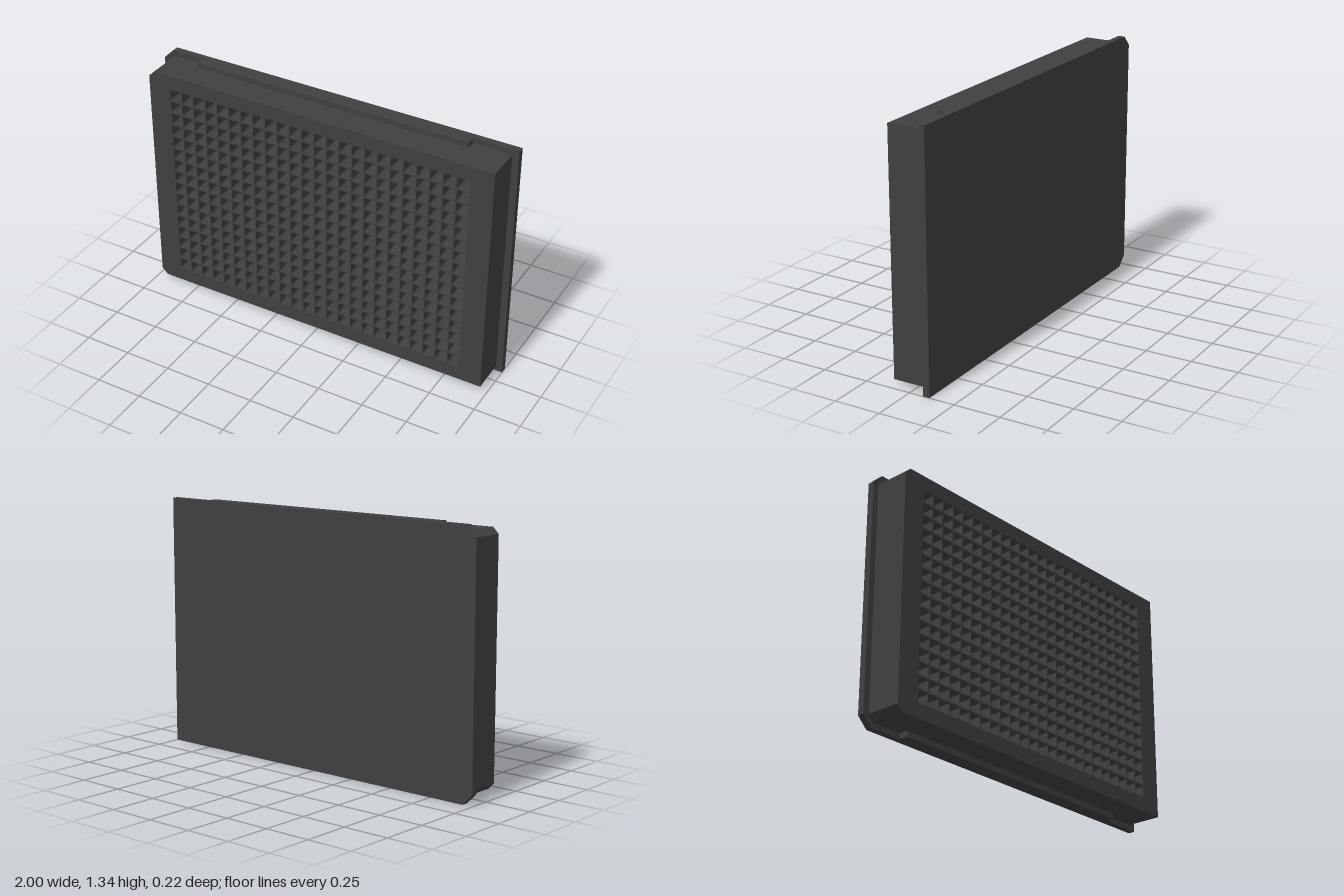
import * as THREE from 'three';

const HEIGHT = 1.337, BACK = -0.112, FLANGE_FRONT = -0.077, STEP_FRONT = -0.029, FRONT = 0.112;

// Rectangle whose two corners on the -x side are cut off
function plateOutline(x0, x1, y0, y1, cut) {
  return new THREE.Shape([
    [x0 + cut, y0], [x1, y0], [x1, y1], [x0 + cut, y1], [x0, y1 - cut], [x0, y0 + cut],
  ].map(([x, y]) => new THREE.Vector2(x, y)));
}

// Square well opening with slightly cut corners
function wellOutline(cx, cy, half, cut) {
  const a = half, b = half - cut;
  return new THREE.Path([
    [-b, -a], [-a, -b], [-a, b], [-b, a], [b, a], [a, b], [a, -b], [b, -a],
  ].map(([x, y]) => new THREE.Vector2(cx + x, cy + y)));
}

function slab(shape, z0, z1) {
  return new THREE.ExtrudeGeometry(shape, { depth: z1 - z0, bevelEnabled: false }).translate(0, 0, z0);
}

export function createModel() {
  const group = new THREE.Group();
  group.name = 'wellPlate';
  const material = new THREE.MeshStandardMaterial({ color: 0x404040 });
  const add = (name, geometry) => {
    const mesh = new THREE.Mesh(geometry, material);
    mesh.name = name;
    group.add(mesh);
    return mesh;
  };

  // Base flange, which also closes the bottoms of the wells
  add('baseFlange', slab(plateOutline(-1, 1, 0, HEIGHT, 0.055), BACK, FLANGE_FRONT));

  // Body pierced by a 24 x 16 grid of wells
  const body = plateOutline(-0.967, 0.965, 0.03, HEIGHT - 0.03, 0.032);
  const columns = 24, rows = 16, pitch = 0.0704;
  for (let r = 0; r < rows; r++) {
    for (let c = 0; c < columns; c++) {
      const x = (c - (columns - 1) / 2) * pitch;
      const y = HEIGHT / 2 + (r - (rows - 1) / 2) * pitch;
      body.holes.push(wellOutline(x, y, 0.032, 0.006));
    }
  }
  add('wellBody', slab(body, FLANGE_FRONT - 0.01, FRONT));

  // Raised steps along the two long edges of the flange
  const stepDepth = STEP_FRONT - FLANGE_FRONT;
  for (const [name, y] of [['lowerStep', 0.025], ['upperStep', HEIGHT - 0.025]]) {
    add(name, new THREE.BoxGeometry(1.525, 0.05, stepDepth))
      .position.set(-0.002, y, FLANGE_FRONT + stepDepth / 2);
  }
  return group;
}
